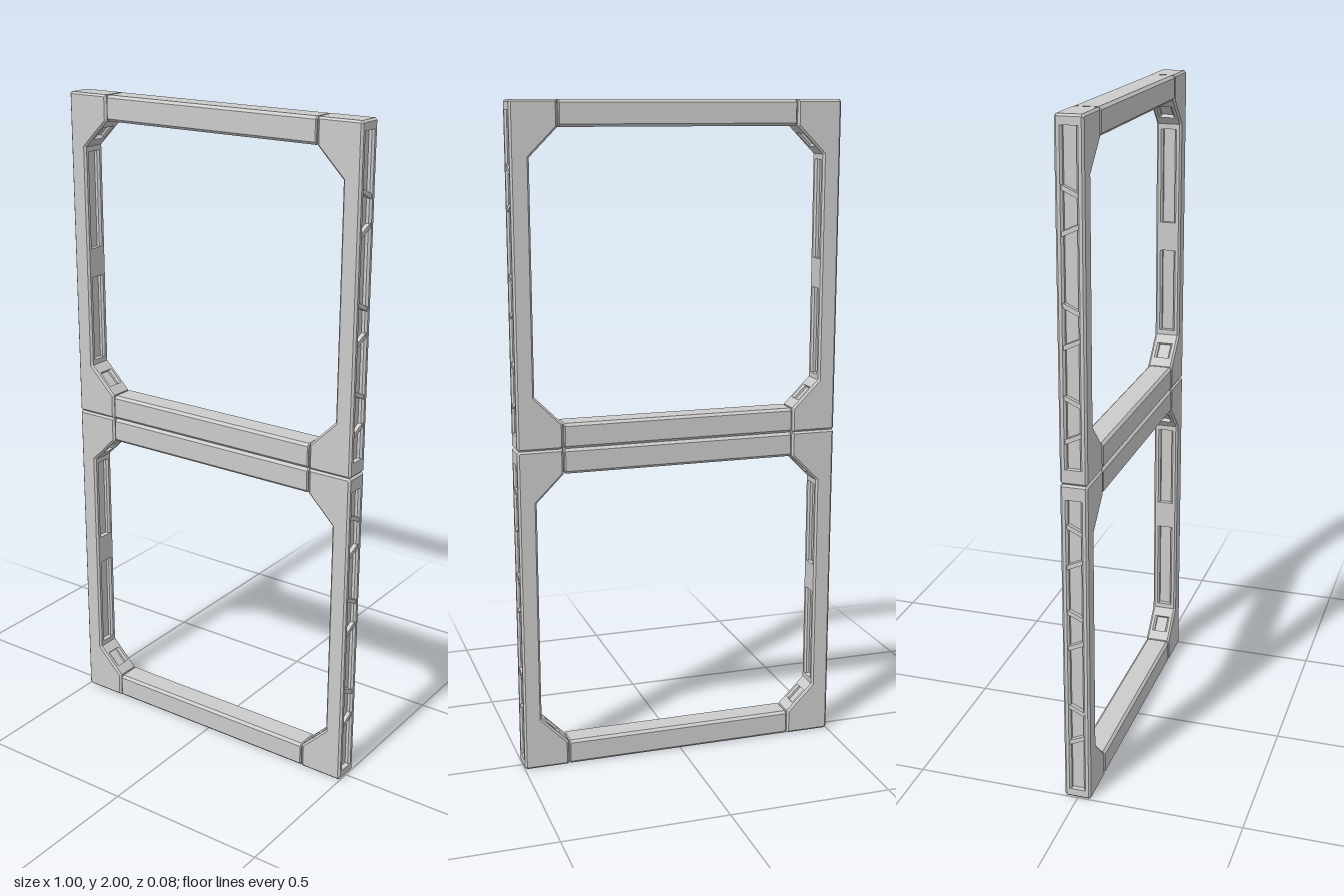
import * as THREE from 'three';

const material = new THREE.MeshStandardMaterial({ color: 0xcccccc, flatShading: true });
const HALF = 0.04;      // half depth of the frame
const SLOT = 0.025;     // half width of the pockets
const BEVEL = 0.006;
const JOINT = 0.362;    // where beams meet the side pieces
const INNER = 0.445;    // inner face of a post
const BEAM = 0.076;     // beam height

function mesh(name, geometry) {
  const m = new THREE.Mesh(geometry, material);
  m.name = name;
  return m;
}

// Extrude an outline from z0 to z1, keeping its size when bevelled
function slab(points, z0, z1, bevel = 0) {
  const shape = new THREE.Shape(points.map(([x, y]) => new THREE.Vector2(x, y)));
  const g = new THREE.ExtrudeGeometry(shape, {
    depth: z1 - z0 - 2 * bevel,
    bevelEnabled: bevel > 0,
    bevelThickness: bevel,
    bevelSize: bevel,
    bevelOffset: -bevel,
    bevelSegments: 1,
  });
  return g.translate(0, 0, z0 + bevel);
}

// Pocket cut into the diagonal gusset face running from a to b
function diagonalNotch(a, b, depthX, depthY) {
  const at = (t, d) => [a[0] + (b[0] - a[0]) * t + depthX * d, a[1] + (b[1] - a[1]) * t + depthY * d];
  return [at(0.27, 0), at(0.27, 1), at(0.73, 1), at(0.73, 0)];
}

// Post with its two gussets; flip turns a height within the frame upside down
function createSide(flip) {
  const side = new THREE.Group();
  side.name = 'sidePost';
  const mapped = (pts) => pts.map(([x, y]) => [x, flip(y)]);
  const drop = INNER - JOINT;
  const topA = [JOINT, 1 - BEAM], topB = [INNER, 1 - BEAM - drop];
  const lowB = [INNER, BEAM + drop], lowA = [JOINT, BEAM];
  const c = 0.006;

  // Front and back cheeks carry the full outline
  const outline = mapped([
    [JOINT, 0], [0.5 - c, 0], [0.5, c], [0.5, 1 - c], [0.5 - c, 1], [JOINT, 1],
    topA, topB, lowB, lowA,
  ]);
  side.add(mesh('frontCheek', slab(outline, SLOT - BEVEL, HALF, BEVEL)));
  side.add(mesh('backCheek', slab(outline, -HALF, BEVEL - SLOT, BEVEL)));

  // Middle layer is notched so pockets remain between the cheeks
  const floorIn = INNER + 0.015, floorOut = 0.485;
  const web = mapped([
    [JOINT, 0], [0.5 - c, 0], [0.5, c], [0.5, 0.028], [floorOut, 0.028],
    [floorOut, 0.955], [0.5, 0.955], [0.5, 1 - c], [0.5 - c, 1], [JOINT, 1],
    topA, ...diagonalNotch(topA, topB, 0.009, 0.009), topB,
    [INNER, 0.825], [floorIn, 0.825], [floorIn, 0.56], [INNER, 0.56],
    [INNER, 0.47], [floorIn, 0.47], [floorIn, 0.175], [INNER, 0.175],
    lowB, ...diagonalNotch(lowB, lowA, 0.009, -0.009), lowA,
  ]);
  side.add(mesh('web', slab(web, -SLOT, SLOT)));

  // Zigzag ribs across the outer channel
  [0.195, 0.295, 0.505, 0.6, 0.76, 0.865].forEach((y, i) => {
    const s = (i % 2 ? -1 : 1) * 0.013, t = 0.007, w = SLOT + 0.003;
    const rib = mapped([[-w, y - s - t], [w, y + s - t], [w, y + s + t], [-w, y - s + t]]);
    side.add(mesh('rib', slab(rib, floorOut - 0.005, 0.498).rotateY(Math.PI / 2)));
  });
  return side;
}

// Horizontal beam with chamfered long edges and a core bridging the joints
function createBeam(name, y) {
  const beam = new THREE.Group();
  beam.name = name;
  const h = BEAM / 2, c = 0.008, L = JOINT - 0.003;
  const profile = [
    [-HALF + c, -h], [HALF - c, -h], [HALF, -h + c], [HALF, h - c],
    [HALF - c, h], [-HALF + c, h], [-HALF, h - c], [-HALF, -h + c],
  ];
  beam.add(mesh('beamBody', slab(profile, -L, L, 0.003).rotateY(Math.PI / 2)));
  beam.add(mesh('beamCore', new THREE.BoxGeometry(2 * JOINT + 0.02, BEAM - 0.016, 2 * HALF - 0.016)));
  beam.position.y = y;
  return beam;
}

function createFrame(name, flip) {
  const frame = new THREE.Group();
  frame.name = name;
  const left = createSide(flip);
  left.name = 'leftPost';
  const right = createSide(flip);
  right.name = 'rightPost';
  right.rotation.y = Math.PI;
  frame.add(left, right);
  frame.add(createBeam('bottomBeam', BEAM / 2), createBeam('topBeam', 1 - BEAM / 2));
  return frame;
}

export function createModel() {
  const model = new THREE.Group();
  model.name = 'doubleFrame';
  const lower = createFrame('lowerFrame', (y) => y);
  const upper = createFrame('upperFrame', (y) => 1 - y);
  upper.position.y = 1;
  model.add(lower, upper);
  return model;
}
